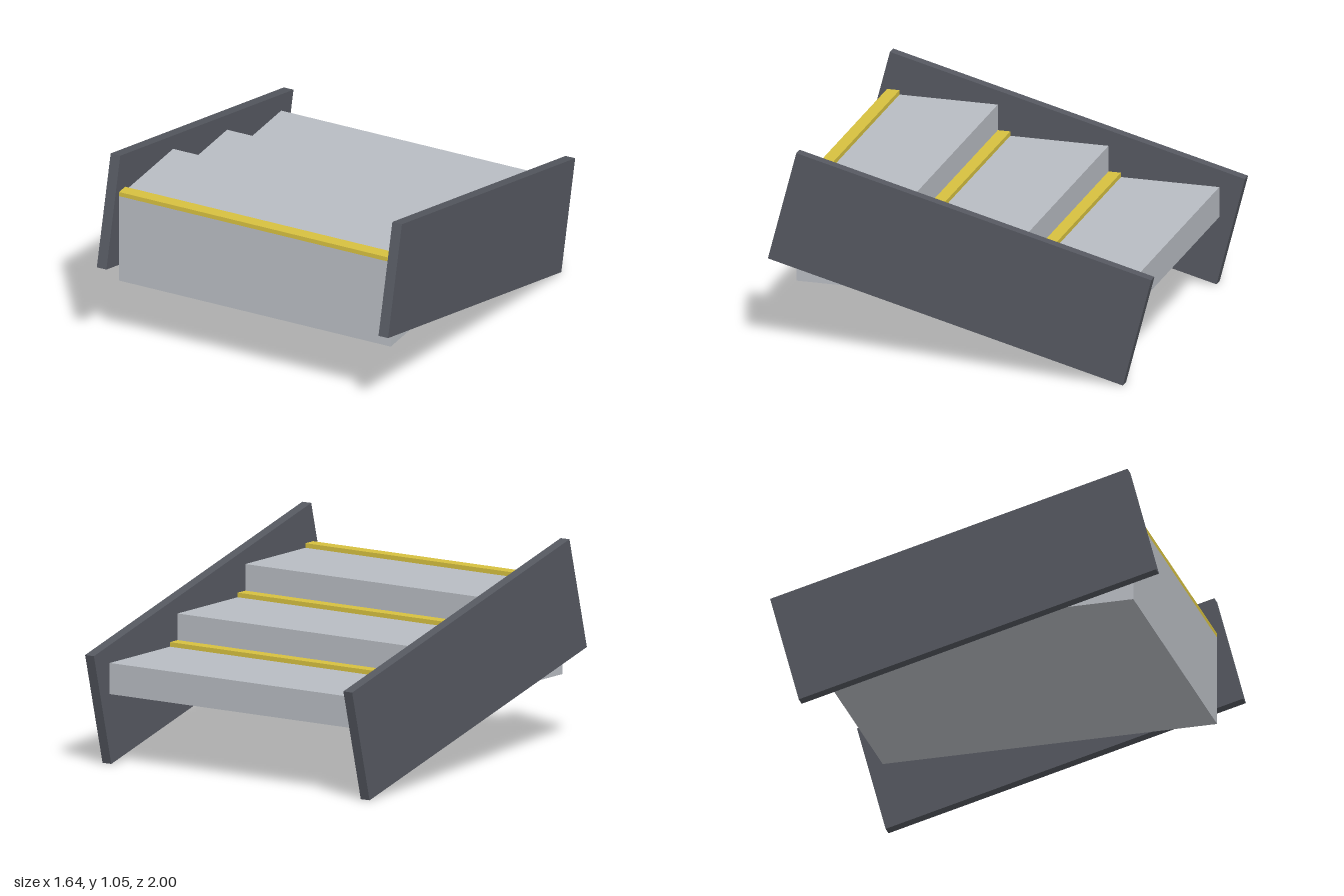
import * as THREE from 'three';

export function createModel() {
  const model = new THREE.Group();
  const panelMat = new THREE.MeshStandardMaterial({ color: 0x555860 });
  const stepMat = new THREE.MeshStandardMaterial({ color: 0xb8bcc2 });
  const stripMat = new THREE.MeshStandardMaterial({ color: 0xd6c040 });

  function box(name, size, pos, mat) {
    const mesh = new THREE.Mesh(new THREE.BoxGeometry(...size), mat);
    mesh.name = name;
    mesh.position.set(...pos);
    model.add(mesh);
    return mesh;
  }

  // Steps rise towards the front from a shared flat underside
  const width = 1.53, depth = 0.577, rise = 0.158, base = 0.358;
  const stripDepth = 0.065, stripHeight = 0.023;
  for (let i = 0; i < 3; i++) {
    const height = rise * (i + 1);
    const z = (i - 1) * depth;
    box(`step${i + 1}`, [width, height, depth], [0, base + height / 2, z], stepMat);
    // Raised safety strip along the front end of each tread
    box(`safetyStrip${i + 1}`, [width, stripHeight, stripDepth],
      [0, base + height + stripHeight / 2, z + depth / 2 - stripDepth / 2], stripMat);
  }

  // Side panels, tilted to follow the slope of the steps
  for (const side of [-1, 1]) {
    const panel = box(side > 0 ? 'leftPanel' : 'rightPanel',
      [0.054, 0.59, 1.911], [side * 0.793, 0.526, 0], panelMat);
    panel.rotation.x = -Math.atan2(0.48, 1.85);
  }

  return model;
}
